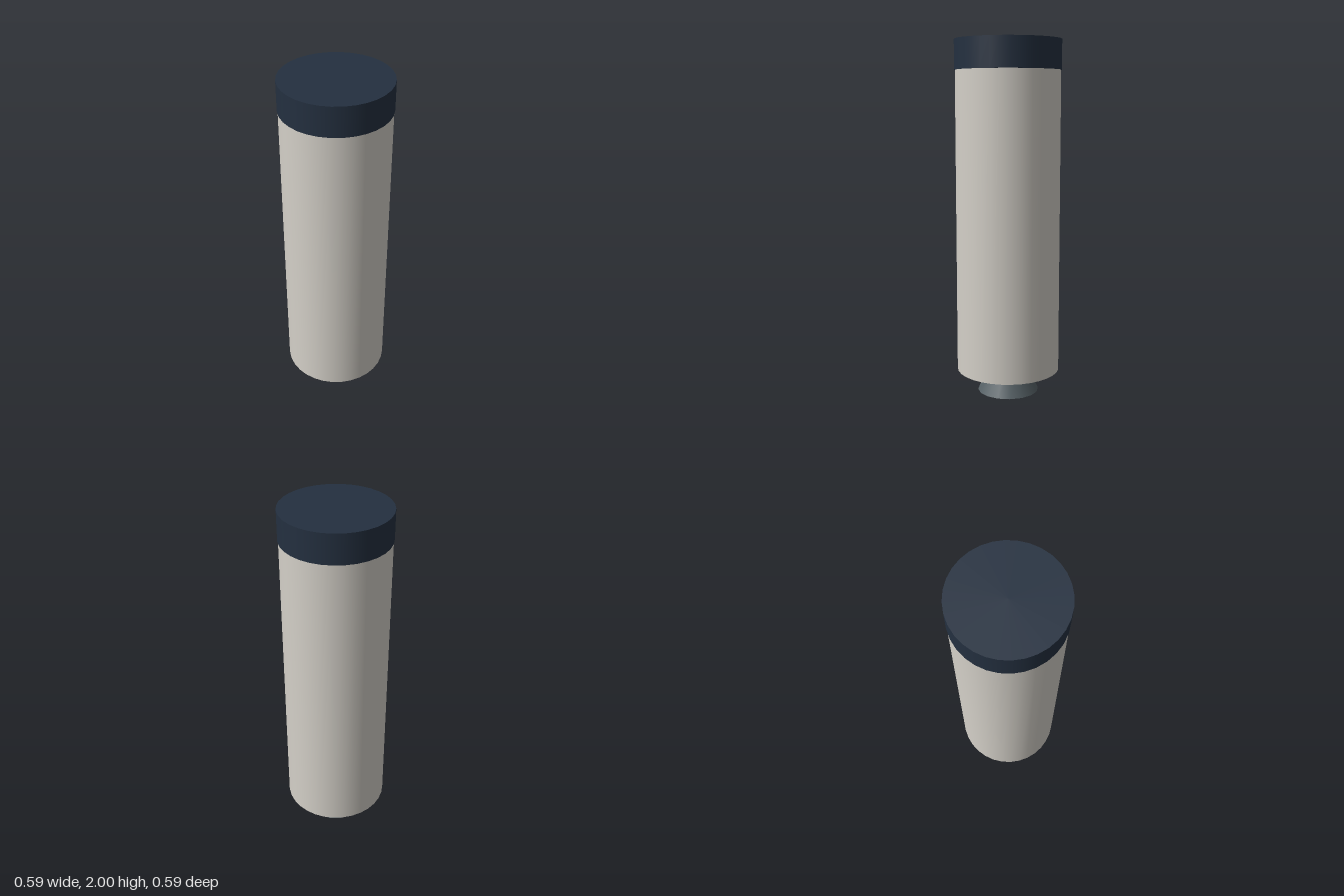
import * as THREE from 'three';

const material = (name, color) => {
  const m = new THREE.MeshStandardMaterial({ color });
  m.name = name;
  return m;
};

export function createModel() {
  const group = new THREE.Group();
  group.name = 'rocketStage';

  // Capped, smooth-sided drum spanning two heights
  const drum = (name, mat, rTop, rBottom, y0, y1, sides) => {
    const mesh = new THREE.Mesh(new THREE.CylinderGeometry(rTop, rBottom, y1 - y0, sides), mat);
    mesh.name = name;
    mesh.position.y = (y0 + y1) / 2;
    group.add(mesh);
  };

  // Engine bell, tank and the slightly wider band on top
  drum('nozzle', material('gunmetal', 0x566166), 0.118, 0.175, 0, 0.13, 16);
  drum('tankBody', material('warmWhite', 0xd4d0c8), 0.293, 0.293, 0.13, 1.835, 32);
  drum('topBand', material('navy', 0x243040), 0.297, 0.297, 1.835, 2, 32);

  return group;
}
